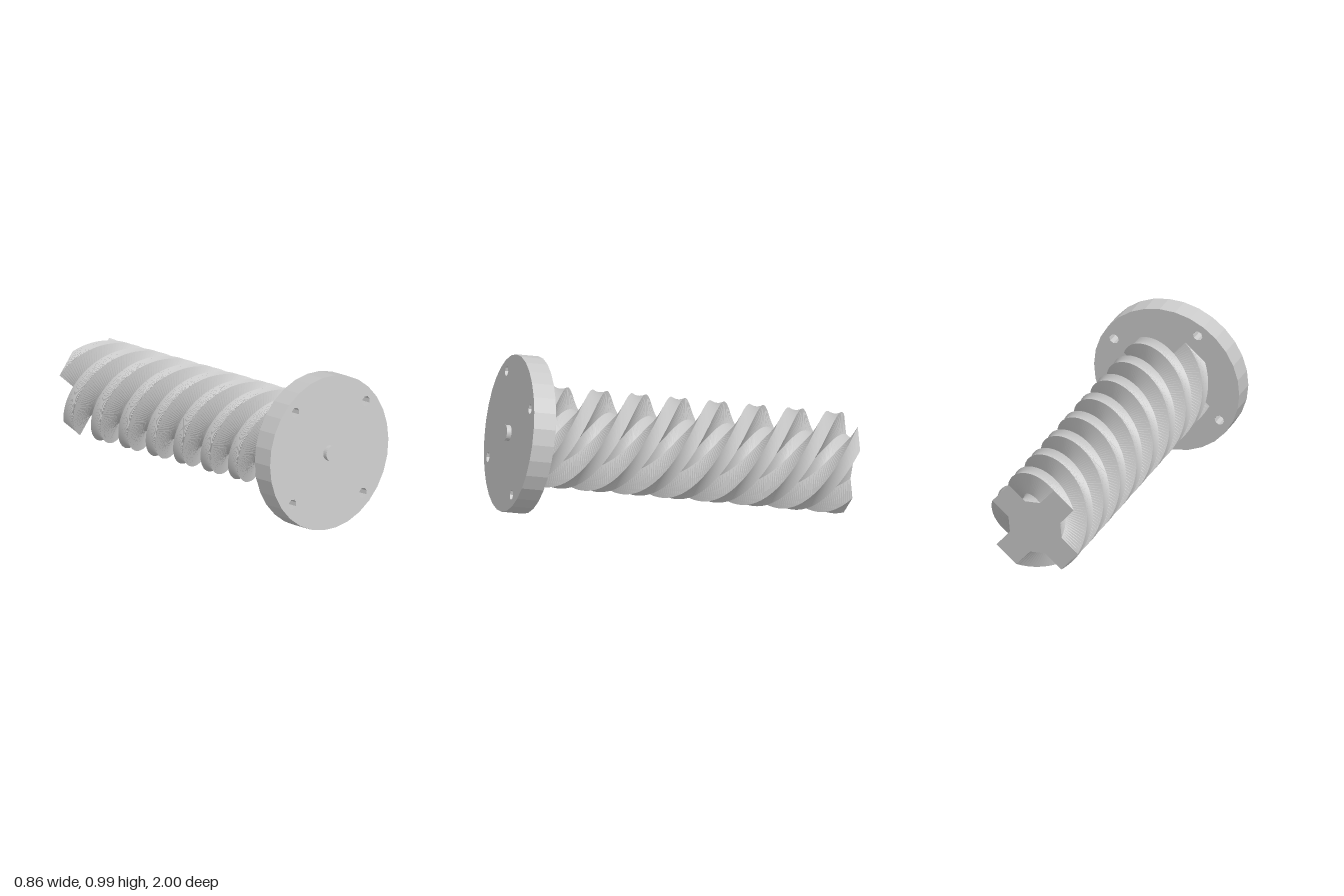
import * as THREE from 'three';

const RAD = Math.PI / 180;
const polar = (r, deg) => new THREE.Vector2(r * Math.cos(deg * RAD), r * Math.sin(deg * RAD));

// Regular polygon outline used for the disc and its holes
function ring(r, sides, phase, cx = 0, cy = 0) {
  const pts = [];
  for (let i = 0; i < sides; i++) {
    const p = polar(r, phase + (i * 360) / sides);
    pts.push(new THREE.Vector2(p.x + cx, p.y + cy));
  }
  return pts;
}

export function createModel() {
  const grey = new THREE.MeshStandardMaterial({ color: 0xc8c8c8, flatShading: true });
  grey.name = 'lightGrey';

  const model = new THREE.Group();
  model.name = 'flangedScrew';
  const add = (name, geometry) => {
    const mesh = new THREE.Mesh(geometry, grey);
    mesh.name = name;
    model.add(mesh);
    return mesh;
  };

  const thickness = 0.125; // flange
  const length = 1.92;     // front face to screw tip

  // Flange: faceted disc with four through holes
  const disc = new THREE.Shape(ring(0.43, 30, 4.5));
  for (let i = 0; i < 4; i++) {
    const c = polar(0.362, 34.5 + 90 * i);
    disc.holes.push(new THREE.Path(ring(0.028, 8, 10, c.x, c.y)));
  }
  const flange = new THREE.ExtrudeGeometry(disc, { depth: thickness, bevelEnabled: false });
  flange.translate(0, 0, -thickness);
  add('flange', flange);

  // Short centre pin on the front face
  const pin = new THREE.CylinderGeometry(0.043, 0.043, 0.035, 24);
  pin.rotateX(Math.PI / 2);
  pin.translate(0, 0, 0.0085);
  add('centrePin', pin);

  // Screw: four-armed cross section, twisted two full turns
  const outline = [];
  for (let i = 0; i < 4; i++) {
    const a = 43.5 + 90 * i;
    outline.push(polar(0.16, a - 29), polar(0.276, a - 16), polar(0.276, a + 16), polar(0.16, a + 29));
  }
  const depth = length - thickness;
  const screw = new THREE.ExtrudeGeometry(new THREE.Shape(outline), { depth, steps: 240, bevelEnabled: false });
  const pos = screw.attributes.position;
  for (let i = 0; i < pos.count; i++) {
    const t = -4 * Math.PI * (pos.getZ(i) / depth);
    const x = pos.getX(i), y = pos.getY(i);
    pos.setXY(i, x * Math.cos(t) - y * Math.sin(t), x * Math.sin(t) + y * Math.cos(t));
  }
  screw.translate(0, 0, -length);
  screw.computeVertexNormals();
  add('twistedScrew', screw);

  // Lean the whole part so the flange end is raised
  model.rotation.x = -9 * RAD;
  model.position.set(0, 0.572, 0.933);

  const root = new THREE.Group();
  root.name = 'model';
  root.add(model);
  return root;
}
